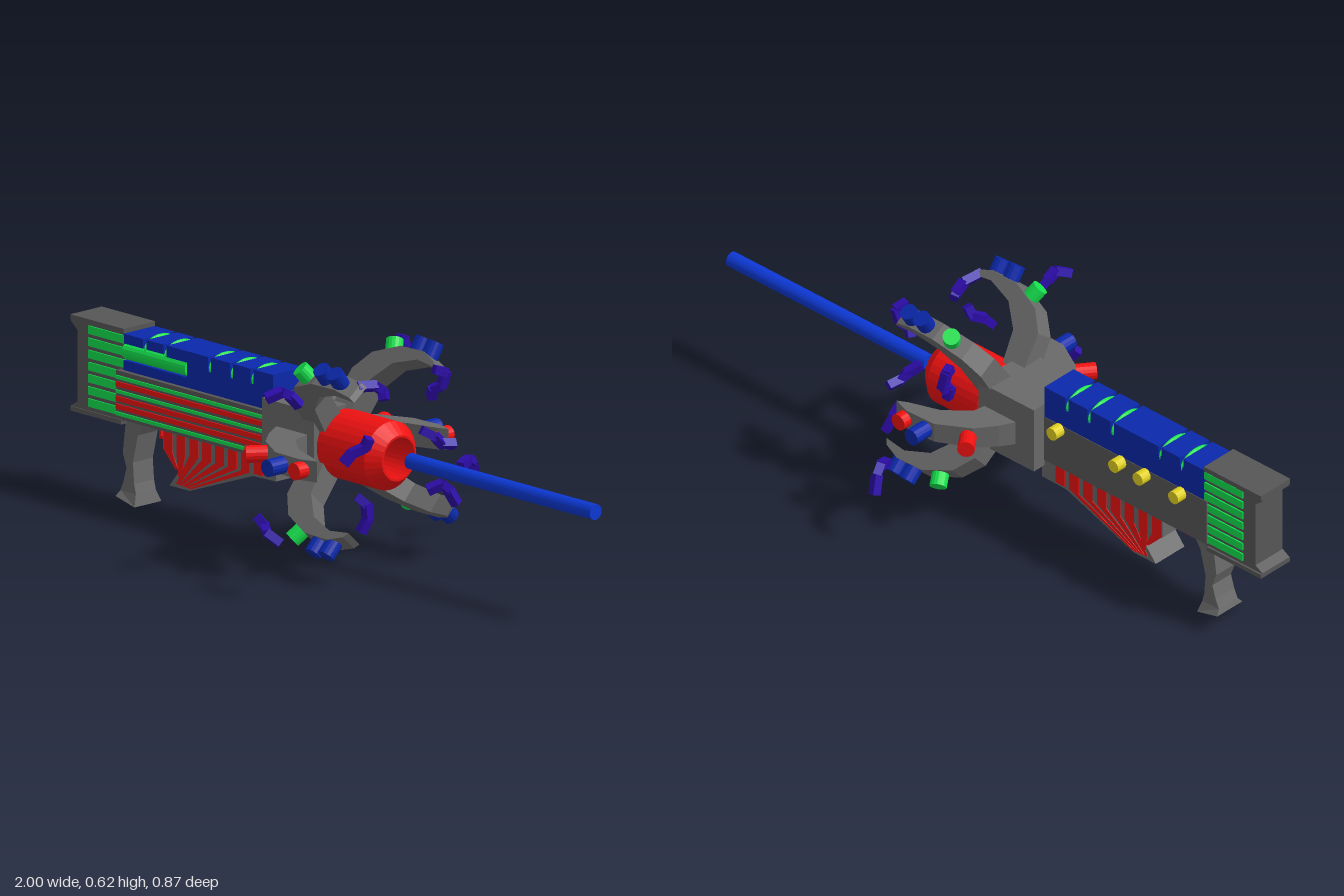
import * as THREE from 'three';

const mat = (color) => new THREE.MeshStandardMaterial({ color, flatShading: true });
const GREY = mat(0x696969), DARK = mat(0x565656), BLUE = mat(0x0a28aa), BEAM = mat(0x0c38d4);
const RED = mat(0xee1111), GREEN = mat(0x14e04c), YELLOW = mat(0xe0d020), PURPLE = mat(0x2c0ca8);
const CZ = -0.01, CY = 0.323; // centre line of the weapon

function add(parent, name, geo, material, x = 0, y = 0, z = 0) {
  const m = new THREE.Mesh(geo, material);
  m.name = name;
  m.position.set(x, y, z);
  parent.add(m);
  return m;
}

// box from its min/max limits
function slab(parent, name, material, x0, x1, y0, y1, z0, z1) {
  return add(parent, name, new THREE.BoxGeometry(x1 - x0, y1 - y0, z1 - z0), material,
    (x0 + x1) / 2, (y0 + y1) / 2, (z0 + z1) / 2);
}

// side profile extruded across z, centred on z = 0; widthAt(y) scales the depth
function plate(points, depth, widthAt = () => 1) {
  const shape = new THREE.Shape(points.map((p) => new THREE.Vector2(p[0], p[1])));
  const geo = new THREE.ExtrudeGeometry(shape, { depth, bevelEnabled: false, steps: 1 });
  geo.translate(0, 0, -depth / 2);
  const p = geo.attributes.position;
  for (let i = 0; i < p.count; i++) p.setZ(i, p.getZ(i) * widthAt(p.getY(i)));
  geo.computeVertexNormals();
  return geo;
}

// cylinder lying along x
const rodX = (r, length, sides = 20) => new THREE.CylinderGeometry(r, r, length, sides).rotateZ(Math.PI / 2);

function buildBody(g) {
  slab(g, 'receiver', DARK, -0.8, -0.19, 0.245, 0.385, -0.06, 0.055);

  // stock with flared end caps and green ribs on both sides
  add(g, 'stock', plate([[-1, 0.49], [-1, 0.475], [-0.975, 0.455], [-0.975, 0.255], [-1, 0.24],
    [-1, 0.225], [-0.79, 0.235], [-0.79, 0.49]], 0.108), DARK);
  slab(g, 'stockTopCap', DARK, -1, -0.79, 0.48, 0.495, -0.06, 0.057);
  slab(g, 'stockBottomCap', DARK, -1, -0.8, 0.225, 0.238, -0.06, 0.057);
  for (let i = 0; i < 7; i++) {
    const y = 0.25 + i * 0.034;
    slab(g, 'stockRib', GREEN, -0.93, -0.788, y, y + 0.023, -0.058, 0.058);
  }

  // blue upper block: core, top segments and green lenses in the slits
  slab(g, 'upperBlock', BLUE, -0.54, -0.2, 0.38, 0.44, -0.058, 0.058);
  slab(g, 'upperBlockRear', BLUE, -0.79, -0.54, 0.38, 0.455, -0.058, 0.04);
  slab(g, 'upperBlockLedge', BLUE, -0.79, -0.54, 0.38, 0.408, 0.03, 0.058);
  const slits = [-0.706, -0.626, -0.45, -0.364, -0.283];
  const edges = [-0.796, ...slits, -0.194];
  for (let i = 0; i < edges.length - 1; i++) {
    const low = edges[i + 1] < -0.5 ? 0.455 : 0.438;
    slab(g, 'upperSegment', BLUE, edges[i] + 0.006, edges[i + 1] - 0.006, low, 0.482, -0.058, 0.058);
  }
  slab(g, 'upperSegment', BLUE, -0.62, -0.54, 0.455, 0.482, -0.058, 0.058);
  for (const x of slits) {
    add(g, 'greenLens', new THREE.SphereGeometry(1, 16, 12).scale(0.012, 0.036, 0.061), GREEN, x, 0.452, 0);
  }
  add(g, 'greenTube', rodX(0.024, 0.25, 16), GREEN, -0.665, 0.432, 0.042);

  // striped panel on the left side
  slab(g, 'sidePanel', DARK, -0.805, -0.19, 0.245, 0.38, 0.05, 0.072);
  [[0.362, 0.01, GREEN], [0.343, 0.014, RED], [0.322, 0.009, GREEN], [0.302, 0.014, RED],
    [0.28, 0.014, RED], [0.26, 0.01, GREEN]].forEach(([y, h, m]) => {
    slab(g, 'panelStripe', m, -0.803, -0.192, y - h / 2, y + h / 2, 0.07, 0.076);
  });

  // yellow knobs on the right side
  for (const x of [-0.706, -0.575, -0.485, -0.257]) {
    add(g, 'knob', new THREE.CylinderGeometry(0.019, 0.019, 0.04, 16).rotateX(Math.PI / 2), YELLOW, x, 0.37, -0.072);
  }
}

function buildMagazine(g) {
  add(g, 'magazine', plate([[-0.635, 0.25], [-0.635, 0.19], [-0.57, 0.14], [-0.61, 0.092],
    [-0.53, 0.092], [-0.28, 0.183], [-0.19, 0.185], [-0.19, 0.25]], 0.114), GREY);
  // red stripes: upright along the top, fanning out below
  for (let i = 0; i < 8; i++) {
    const x = -0.632 + i * 0.051, w = 0.034;
    add(g, 'magazineStripe', plate([[x, 0.19], [x + w, 0.19], [x + w, 0.247], [x, 0.247]], 0.117), RED);
    if (i === 7) continue;
    const foot = i < 2 ? [-0.585 + i * 0.012, 0.142 - i * 0.02] : [-0.605 + i * 0.0117, 0.104 - i * 0.001];
    add(g, 'magazineFan', plate([foot, [foot[0] + 0.011, foot[1]], [x + w, 0.19], [x, 0.19]], 0.117), RED);
  }
}

function buildGrip(g) {
  add(g, 'grip', plate([[-0.8, 0.25], [-0.815, 0.14], [-0.8, 0.1], [-0.812, 0.06], [-0.824, 0.033],
    [-0.763, 0.033], [-0.77, 0.06], [-0.775, 0.12], [-0.755, 0.2], [-0.72, 0.25]], 0.074), GREY);
  add(g, 'gripFoot', plate([[-0.824, 0.033], [-0.83, 0.018], [-0.755, 0], [-0.763, 0.033]], 0.074,
    (y) => (y < 0.03 ? 1.35 : 1)), GREY);
  slab(g, 'trigger', RED, -0.7, -0.692, 0.2, 0.25, -0.01, 0.01);
  slab(g, 'triggerFoot', RED, -0.7, -0.67, 0.198, 0.206, -0.01, 0.01);
  slab(g, 'triggerRail', RED, -0.73, -0.63, 0.24, 0.248, -0.02, 0.02);
}

function buildBarrel(g) {
  slab(g, 'hub', GREY, -0.2, 0.005, 0.226, 0.426, -0.1, 0.1);
  const profile = [[0, 0], [0.086, 0], [0.096, 0.015], [0.096, 0.198], [0.064, 0.235], [0.058, 0.235], [0.058, 0.1]];
  const shell = new THREE.LatheGeometry(profile.map((p) => new THREE.Vector2(...p)), 28).rotateZ(-Math.PI / 2);
  add(g, 'barrelShell', shell, RED, 0, CY, 0).material.side = THREE.DoubleSide;
  add(g, 'barrelCore', new THREE.ConeGeometry(0.058, 0.05, 8).rotateZ(-Math.PI / 2), GREY, 0.12, CY, 0);
  add(g, 'beam', rodX(0.022, 0.73, 20), BEAM, 0.635, 0.321, -0.009);
}

// claw arm pointing along +y before turning, with studs [x, radius, lean, material]
function buildArm(g, [degrees, dy, dz], profile, studs) {
  const arm = new THREE.Group();
  arm.name = 'clawArm';
  const taper = (r) => THREE.MathUtils.mapLinear(r, 0.05, 0.29, 0.077, 0.055);
  add(arm, 'claw', plate(profile, 1, taper), GREY);
  for (const [x, r, lean, m] of studs) {
    add(arm, 'stud', new THREE.CylinderGeometry(0.024, 0.024, 0.06, 16), m, x, r, 0).rotation.z = lean;
  }
  arm.position.set(0, CY + dy, dz);
  arm.rotation.x = THREE.MathUtils.degToRad(degrees);
  g.add(arm);
}

// jagged spark: blocks strung along a short path
function buildSpark(g, path) {
  const spark = new THREE.Group();
  spark.name = 'spark';
  const pts = path.map((p) => new THREE.Vector3(...p));
  for (let i = 0; i < pts.length - 1; i++) {
    const d = pts[i + 1].clone().sub(pts[i]);
    const mid = pts[i].clone().add(pts[i + 1]).multiplyScalar(0.5);
    const b = add(spark, 'sparkBlock', new THREE.BoxGeometry(0.024, 0.024, d.length() + 0.006), PURPLE, mid.x, mid.y, mid.z);
    b.quaternion.setFromUnitVectors(new THREE.Vector3(0, 0, 1), d.normalize());
  }
  g.add(spark);
}

export function createModel() {
  const model = new THREE.Group();
  model.name = 'energyRifle';
  const g = new THREE.Group();
  g.name = 'rifle';
  g.position.z = CZ;
  model.add(g);
  buildBody(g);
  buildMagazine(g);
  buildGrip(g);
  buildBarrel(g);

  // four diagonal claws and two side claws, each [angle, y shift, z shift]
  const longClaw = [[-0.045, 0.07], [-0.035, 0.2], [0.01, 0.258], [0.1, 0.295], [0.19, 0.297], [0.24, 0.278],
    [0.25, 0.262], [0.18, 0.27], [0.1, 0.243], [0.045, 0.18], [0.027, 0.07]];
  const sideClaw = [[-0.16, 0.06], [-0.11, 0.15], [-0.065, 0.205], [0.03, 0.258], [0.13, 0.262],
    [0.18, 0.245], [0.15, 0.23], [0.06, 0.2], [-0.01, 0.145], [-0.03, 0.06]];
  for (const a of [[37, 0, 0], [-32, 0, 0], [136, 0, 0], [-132.5, 0.011, 0.012]]) {
    buildArm(g, a, longClaw, [[0.055, 0.285, 0.4, GREEN], [0.142, 0.307, 0, BLUE], [0.192, 0.304, 0, BLUE]]);
  }
  for (const a of [[90, -0.002, 0.009], [-90, -0.002, 0.009]]) {
    buildArm(g, a, sideClaw, [[-0.07, 0.235, 0.65, RED], [0.06, 0.287, 0, BLUE], [0.135, 0.258, 0, RED]]);
  }

  // sparks around the claws
  [
    [[0.08, 0.525, 0.335], [0.1, 0.54, 0.3], [0.1, 0.525, 0.27], [0.11, 0.495, 0.245]],
    [[0.23, 0.55, 0.14], [0.24, 0.545, 0.085], [0.24, 0.525, 0.055], [0.25, 0.505, 0.06]],
    [[0.27, 0.56, -0.11], [0.28, 0.55, -0.14], [0.27, 0.51, -0.135], [0.25, 0.5, -0.12], [0.24, 0.475, -0.125]],
    [[-0.03, 0.56, -0.26], [-0.035, 0.555, -0.28], [-0.03, 0.51, -0.29], [-0.04, 0.505, -0.27], [-0.035, 0.475, -0.275]],
    [[0.28, 0.415, 0.145], [0.27, 0.39, 0.15], [0.25, 0.375, 0.18], [0.24, 0.35, 0.2]],
    [[0.22, 0.38, -0.11], [0.24, 0.36, -0.14], [0.25, 0.34, -0.155], [0.26, 0.335, -0.19]],
    [[0.12, 0.215, 0.41], [0.14, 0.19, 0.4], [0.17, 0.18, 0.42], [0.2, 0.155, 0.4]],
    [[0.24, 0.245, 0.15], [0.26, 0.225, 0.135], [0.26, 0.185, 0.13], [0.25, 0.15, 0.145]],
    [[0.25, 0.22, -0.105], [0.27, 0.235, -0.135], [0.27, 0.215, -0.16], [0.28, 0.175, -0.18]],
    [[0.13, 0.22, -0.34], [0.12, 0.23, -0.375], [0.11, 0.215, -0.4], [0.1, 0.17, -0.42]],
  ].forEach((path) => buildSpark(model, path));
  return model;
}
